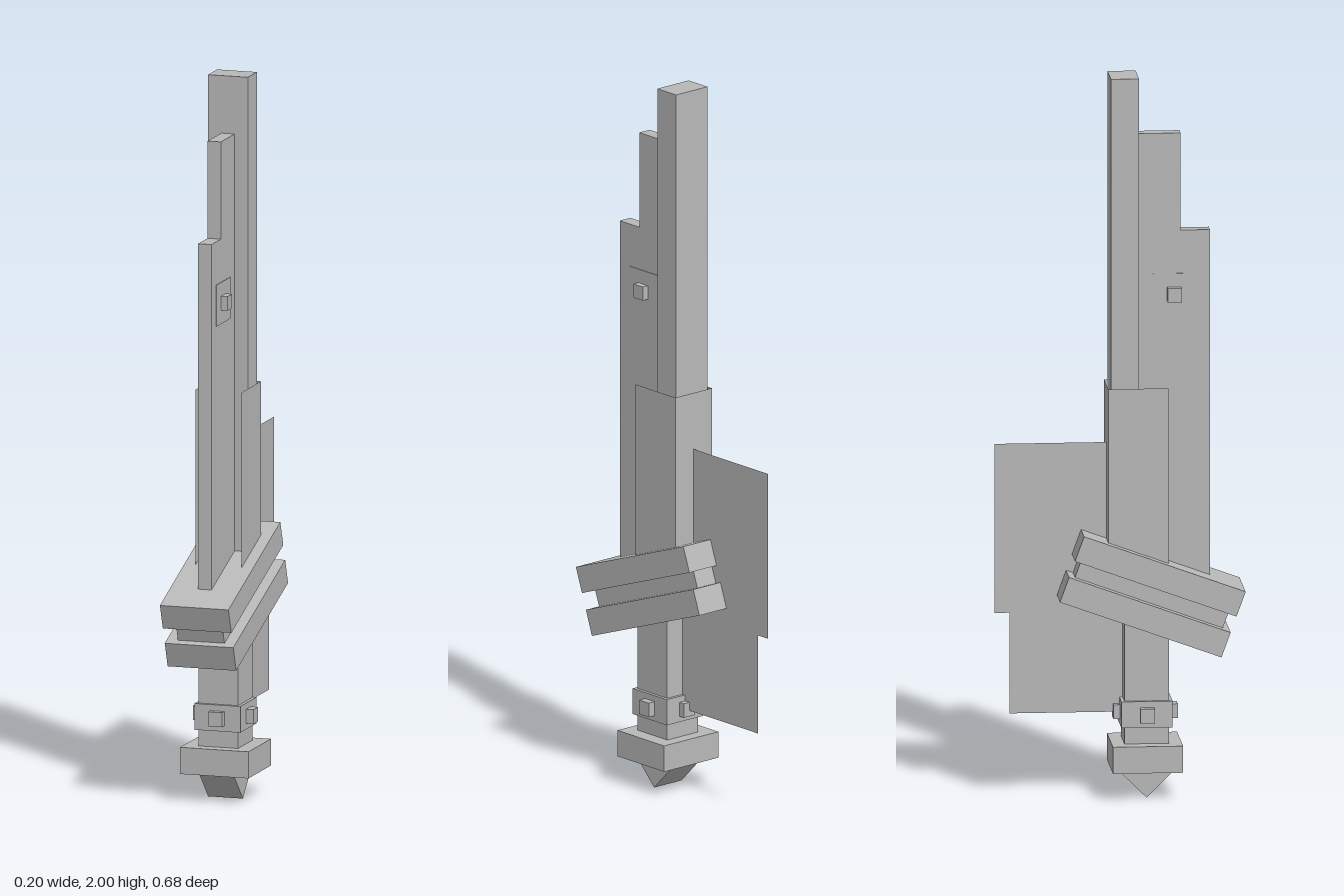
import * as THREE from 'three';

export function createModel() {
  const model = new THREE.Group();
  model.name = 'sword';
  // Double sided because the fin and sleeve are open sheets
  const grey = new THREE.MeshStandardMaterial({ color: 0xb8b8b8, side: THREE.DoubleSide });
  grey.name = 'plainGrey';

  function add(name, geometry, parent = model) {
    const mesh = new THREE.Mesh(geometry, grey);
    mesh.name = name;
    parent.add(mesh);
    return mesh;
  }
  // Box centred on x, given its width and its y and z ranges
  function box(name, width, y0, y1, z0, z1, x = 0) {
    const mesh = add(name, new THREE.BoxGeometry(width, y1 - y0, z1 - z0));
    mesh.position.set(x, (y0 + y1) / 2, (z0 + z1) / 2);
    return mesh;
  }
  // Flat outline in the z-y plane, extruded evenly about x = 0 (or a flat sheet)
  function profile(name, points, width = 0) {
    const shape = new THREE.Shape(points.map(([z, y]) => new THREE.Vector2(-z, y)));
    const geometry = width
      ? new THREE.ExtrudeGeometry(shape, { depth: width, bevelEnabled: false }).translate(0, 0, -width / 2)
      : new THREE.ShapeGeometry(shape);
    return add(name, geometry.rotateY(Math.PI / 2));
  }

  // Long spine and the stepped blade in front of it
  box('spine', 0.114, 0.55, 2, -0.024, 0.053);
  profile('blade', [[0.25, 0.58], [0.05, 0.58], [0.05, 1.84], [0.17, 1.84], [0.17, 1.57], [0.25, 1.57]], 0.038);
  for (const side of [-1, 1]) {
    box('bladePlate', 0.003, 1.335, 1.45, 0.094, 0.212, side * 0.019);
    box('bladeStud', 0.02, 1.373, 1.412, 0.133, 0.172, side * 0.029);
  }

  // Sleeve: two side sheets and a back sheet, open at the front and top
  const sleeveBottom = 0.56, sleeveTop = 1.14, sleeveHeight = sleeveTop - sleeveBottom;
  const sleeveY = (sleeveTop + sleeveBottom) / 2;
  for (const side of [-1, 1]) {
    const sheet = add('sleeveSide', new THREE.PlaneGeometry(0.165, sleeveHeight));
    sheet.rotation.y = side * Math.PI / 2;
    sheet.position.set(side * 0.066, sleeveY, 0.0505);
  }
  const sleeveBack = add('sleeveBack', new THREE.PlaneGeometry(0.132, sleeveHeight));
  sleeveBack.rotation.y = Math.PI;
  sleeveBack.position.set(0, sleeveY, -0.032);

  // Stepped fin behind the grip
  profile('backFin', [[0.02, 0.23], [-0.297, 0.23], [-0.297, 0.51], [-0.338, 0.51], [-0.338, 0.98], [-0.032, 0.98], [-0.032, 0.6], [0.02, 0.6]]);

  // Tilted guard: two slabs around a narrower core
  const guard = new THREE.Group();
  guard.name = 'guard';
  guard.position.set(0, 0.567, 0.087);
  guard.rotation.x = THREE.MathUtils.degToRad(20);
  model.add(guard);
  for (const side of [-1, 1]) {
    add('guardSlab', new THREE.BoxGeometry(0.197, 0.073, 0.47), guard).position.y = side * 0.06;
  }
  add('guardCore', new THREE.BoxGeometry(0.134, 0.06, 0.43), guard);

  // Grip with a studded collar
  const gripZ = 0.074;
  box('grip', 0.113, 0.14, 0.56, 0.013, 0.135);
  box('collar', 0.132, 0.197, 0.27, gripZ - 0.07, gripZ + 0.07);
  box('collarSideStuds', 0.174, 0.213, 0.253, gripZ - 0.02, gripZ + 0.02);
  box('collarEndStuds', 0.04, 0.213, 0.253, gripZ - 0.088, gripZ + 0.088);

  // Pommel with a wedge tip
  box('pommel', 0.197, 0.077, 0.151, gripZ - 0.096, gripZ + 0.096);
  profile('pommelTip', [[gripZ, 0], [gripZ - 0.077, 0.077], [gripZ + 0.077, 0.077]], 0.1);

  return model;
}
